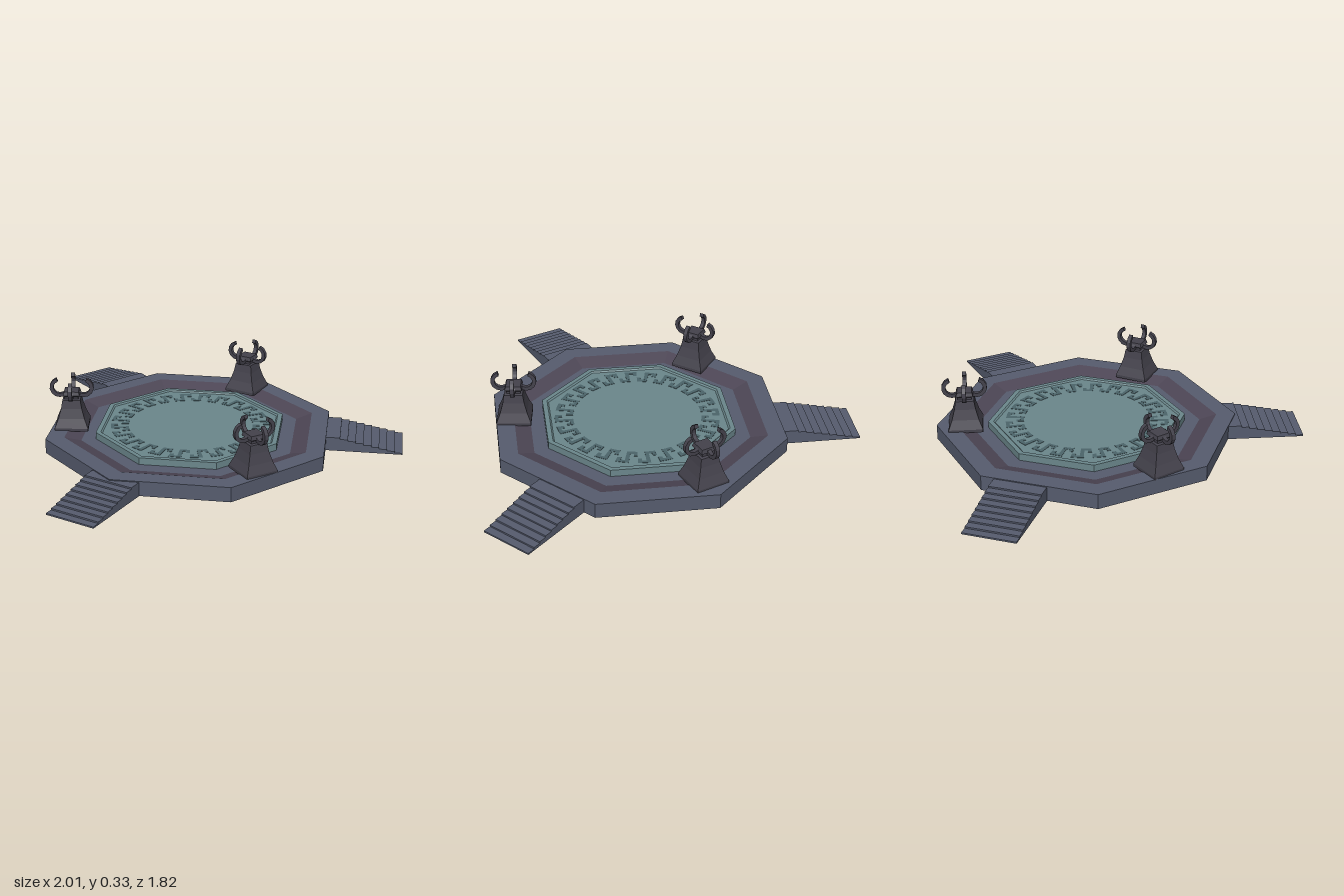
import * as THREE from 'three';

const CENTRE_Z = -0.165;
const material = (color) => new THREE.MeshStandardMaterial({ color, flatShading: true, side: THREE.DoubleSide });
const stone = material(0x565c6e);
const purple = material(0x4d4655);
const teal = material(0x6b878c);
const darkTeal = material(0x4c646a);
const darkStone = material(0x44424c);

function mesh(name, geometry, mat) {
  const m = new THREE.Mesh(geometry, mat);
  m.name = name;
  return m;
}

// Ring or solid with flat sides, from [radius, height] pairs
function faceted(name, profile, sides, mat) {
  const points = profile.map(([r, y]) => new THREE.Vector2(r, y));
  return mesh(name, new THREE.LatheGeometry(points, sides), mat);
}

// Flight of nine shallow steps running out along +z
function stairGeometry() {
  const steps = 9, start = 0.685, end = 1.07, depth = 0.039, rise = 0.0078, width = 0.26;
  const s = new THREE.Shape();
  s.moveTo(start, 0);
  s.lineTo(end, 0);
  for (let i = 0; i < steps; i++) {
    s.lineTo(end - i * depth, (i + 1) * rise);
    s.lineTo(i === steps - 1 ? start : end - (i + 1) * depth, (i + 1) * rise);
  }
  s.closePath();
  return new THREE.ExtrudeGeometry(s, { depth: width, bevelEnabled: false })
    .rotateY(-Math.PI / 2).translate(width / 2, 0, 0);
}

// Bar of the key pattern, bounded by two radii and two angles
function arcBar(r0, r1, a0, a1) {
  const s = new THREE.Shape();
  const n = 2;
  for (let i = 0; i <= n; i++) {
    const a = a0 + (a1 - a0) * i / n;
    s[i ? 'lineTo' : 'moveTo'](r1 * Math.cos(a), r1 * Math.sin(a));
  }
  for (let i = n; i >= 0; i--) {
    const a = a0 + (a1 - a0) * i / n;
    s.lineTo(r0 * Math.cos(a), r0 * Math.sin(a));
  }
  s.closePath();
  return s;
}

function keyPattern() {
  const units = 24, columns = 5, inner = 0.315, row = 0.018;
  const column = Math.PI * 2 / units / columns;
  // [first column, last column, first row, last row]
  const bars = [[0, 3, 4, 5], [2, 3, 1, 4], [2, 5, 0, 1], [0, 1, 3, 4], [4, 5, 1, 2]];
  const shapes = [];
  for (let u = 0; u < units; u++) {
    for (const [c0, c1, r0, r1] of bars) {
      const a = u * columns * column;
      shapes.push(arcBar(inner + r0 * row, inner + r1 * row, a + c0 * column, a + c1 * column));
    }
  }
  const geometry = new THREE.ExtrudeGeometry(shapes, { depth: 0.003, bevelEnabled: false });
  return mesh('keyPattern', geometry.rotateX(-Math.PI / 2).translate(0, 0.0765, 0), darkTeal);
}

// Curved horn with a square section, hooking up and inward
function hornGeometry() {
  const cx = 0.06, cy = 0.278, thick = 0.02, n = 8;
  const from = Math.PI * 1.2, to = Math.PI * 2.4;
  const s = new THREE.Shape();
  for (let i = 0; i <= n; i++) {
    const a = from + (to - from) * i / n;
    s[i ? 'lineTo' : 'moveTo'](cx + 0.051 * Math.cos(a), cy + 0.051 * Math.sin(a));
  }
  for (let i = n; i >= 0; i--) {
    const a = from + (to - from) * i / n;
    s.lineTo(cx + 0.032 * Math.cos(a), cy + 0.032 * Math.sin(a));
  }
  s.closePath();
  return new THREE.ExtrudeGeometry(s, { depth: thick, bevelEnabled: false }).translate(0, 0, -thick / 2);
}

function brazier() {
  const g = new THREE.Group();
  g.name = 'brazier';
  const halfWidths = [
    [0, 0.07], [0.084, 0.07], [0.084, 0.085], [0.066, 0.13], [0.052, 0.18], [0.045, 0.222],
    [0.034, 0.226], [0.034, 0.238], [0.042, 0.245], [0.036, 0.264], [0, 0.264],
  ];
  const pedestal = faceted('pedestal', halfWidths.map(([w, y]) => [w * Math.SQRT2, y]), 4, darkStone);
  pedestal.rotation.y = Math.PI / 4;
  g.add(pedestal);
  const geometry = hornGeometry();
  for (let i = 0; i < 4; i++) {
    const horn = mesh('horn', geometry, darkStone);
    horn.rotation.y = i * Math.PI / 2;
    g.add(horn);
  }
  return g;
}

export function createModel() {
  const root = new THREE.Group();
  root.name = 'platform';
  const body = new THREE.Group();
  body.name = 'arena';
  body.position.z = CENTRE_Z;
  root.add(body);

  // Octagonal base with a sloping channel around the floor
  body.add(faceted('baseRing', [[0.49, 0], [0.745, 0], [0.745, 0.075], [0.65, 0.075]], 8, stone));
  body.add(faceted('channelSlope', [[0.65, 0.075], [0.565, 0.05]], 8, purple));
  body.add(faceted('channelFloor', [[0.565, 0.05], [0.49, 0.05]], 8, stone));

  // Raised floor with a rim, hollow beneath
  body.add(faceted('floor', [[0.49, 0], [0.49, 0.085], [0.465, 0.085], [0.457, 0.078], [0, 0.078]], 8, teal));
  body.add(keyPattern());

  // Three stairs, the two rear ones set off-centre on their sides
  const stairs = stairGeometry();
  for (const side of [-1, 0, 1]) {
    const holder = new THREE.Group();
    holder.name = 'stairs';
    holder.rotation.y = side * THREE.MathUtils.degToRad(112.5);
    const flight = mesh('stairFlight', stairs, stone);
    flight.position.x = side * 0.09;
    holder.add(flight);
    body.add(holder);
  }

  // Three horned braziers between the stairs
  for (let i = 0; i < 3; i++) {
    const a = Math.PI + i * Math.PI * 2 / 3;
    const b = brazier();
    b.position.set(0.6 * Math.sin(a), 0, 0.6 * Math.cos(a));
    b.rotation.y = a;
    body.add(b);
  }
  return root;
}
